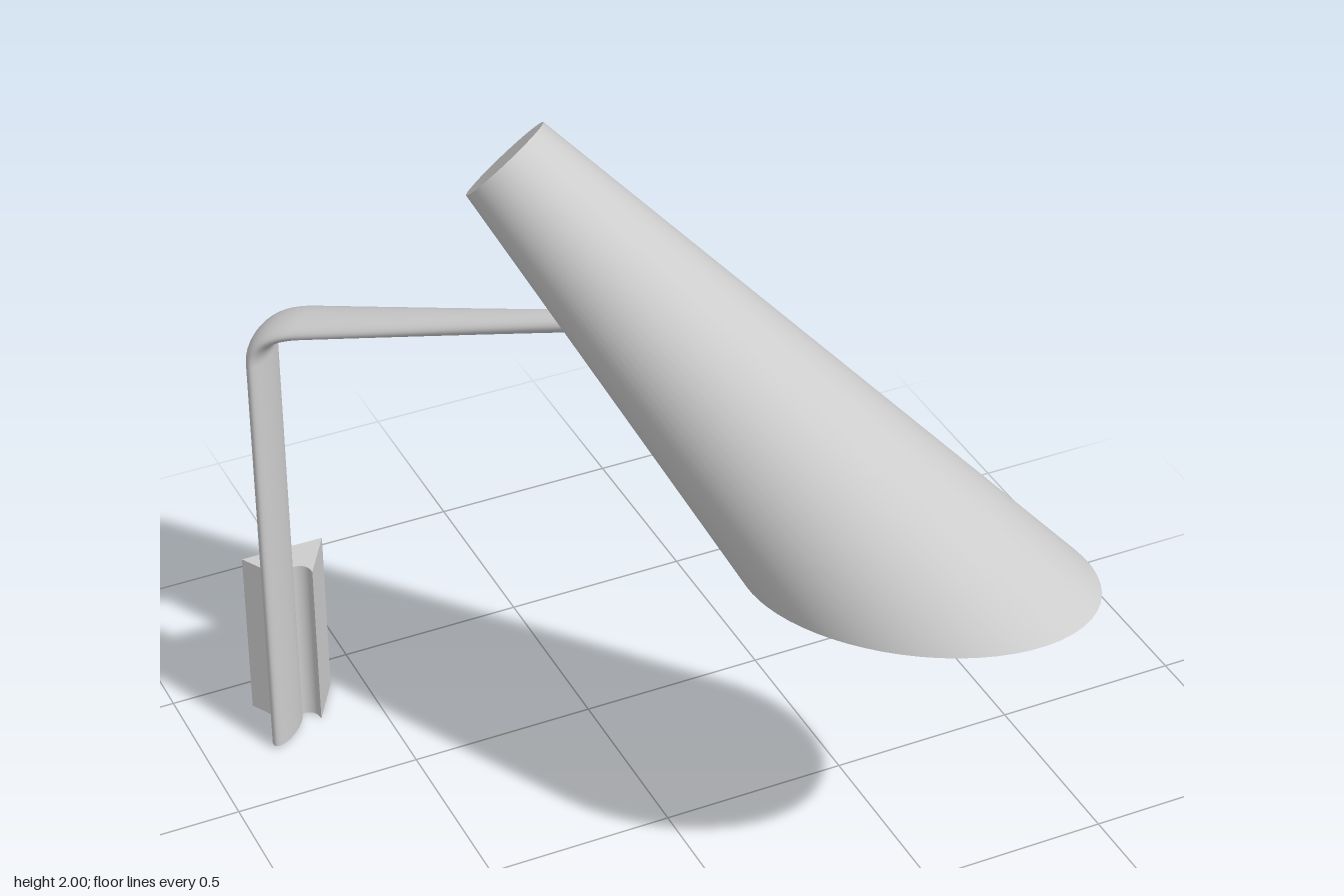
import * as THREE from 'three';

const V = (x, y, z) => new THREE.Vector3(x, y, z);
const UP = V(0, 1, 0);
const SIDES = 64;

// Smooth skin over closed rings of points
function loft(rings) {
  const n = rings[0].length, index = [];
  for (let i = 0; i < rings.length - 1; i++) {
    for (let j = 0; j < n; j++) {
      const a = i * n + j, b = i * n + (j + 1) % n;
      index.push(a, b, a + n, b, b + n, a + n);
    }
  }
  const geo = new THREE.BufferGeometry().setFromPoints(rings.flat());
  geo.setIndex(index);
  geo.computeVertexNormals();
  return geo;
}

// Flat disc closing a ring
function disc(ring, reverse) {
  const centre = ring.reduce((s, p) => s.add(p), V(0, 0, 0)).divideScalar(ring.length);
  const n = ring.length, index = [];
  for (let j = 0; j < n; j++) {
    const k = (j + 1) % n;
    index.push(n, reverse ? k : j, reverse ? j : k);
  }
  const geo = new THREE.BufferGeometry().setFromPoints([...ring, centre]);
  geo.setIndex(index);
  geo.computeVertexNormals();
  return geo;
}

// Ellipse around a centre, in the plane of u and w
function ellipse(centre, u, w, ru, rw) {
  return Array.from({ length: SIDES }, (_, j) => {
    const t = (j / SIDES) * Math.PI * 2;
    return centre.clone().addScaledVector(u, ru * Math.cos(t)).addScaledVector(w, rw * Math.sin(t));
  });
}

export function createModel() {
  const lamp = new THREE.Group();
  lamp.name = 'wallLamp';
  const grey = new THREE.MeshStandardMaterial({ color: 0xcccccc, side: THREE.DoubleSide });
  grey.name = 'light grey metal';
  const add = (parent, name, geo) => {
    const mesh = new THREE.Mesh(geo, grey);
    mesh.name = name;
    parent.add(mesh);
  };

  // Shade: a tilted cone whose mouth is cut almost level
  const shade = new THREE.Group();
  shade.name = 'shade';
  lamp.add(shade);
  const dir = V(0.669, 0, 0.743).normalize();
  const tilt = THREE.MathUtils.degToRad(42.4);
  const flare = Math.tan(THREE.MathUtils.degToRad(7.9));
  const top = V(-0.285, 1.906, -0.3);
  const axis = dir.clone().multiplyScalar(Math.cos(tilt)).addScaledVector(UP, -Math.sin(tilt));
  const u = dir.clone().multiplyScalar(Math.sin(tilt)).addScaledVector(UP, Math.cos(tilt));
  const w = axis.clone().cross(u);
  const ringAt = (k, r) => ellipse(top.clone().addScaledVector(axis, k), u, w, r + k * flare, r + k * flare);
  const heightAboveCut = (p) => p.y - 0.965 - 0.05 * (p.clone().sub(top).dot(dir) - 0.62);
  // Slide each point down its straight line to the cutting plane
  const mouth = (r) => {
    const a = ringAt(0, r), b = ringAt(1, r);
    return a.map((p, j) => {
      const f0 = heightAboveCut(p), f1 = heightAboveCut(b[j]);
      return p.clone().lerp(b[j], f0 / (f0 - f1));
    });
  };
  const R = 0.126, r = 0.114;
  add(shade, 'shadeOuterWall', loft([ringAt(0, R), mouth(R)]));
  add(shade, 'shadeRim', loft([mouth(R), mouth(r)]));
  add(shade, 'shadeInnerWall', loft([mouth(r), ringAt(0.012, r)]));
  add(shade, 'shadeCap', disc(ringAt(0, R), true));
  add(shade, 'shadeInnerCap', disc(ringAt(0.012, r), false));

  // Flat oval stem that bends over and tapers into the arm
  const foot = V(-0.765, 0, -0.755);
  const out = V(1, 0, 1).normalize();
  const at = (s, y) => foot.clone().addScaledVector(out, s).addScaledVector(UP, y);
  const bend = new THREE.QuadraticBezierCurve3(at(0, 1.22), at(0, 1.305), at(0.13, 1.335));
  const stations = [[at(0, 0.01), UP]];
  for (let i = 0; i <= 12; i++) stations.push([bend.getPoint(i / 12), bend.getTangent(i / 12)]);
  stations.push([at(0.86, 1.503), bend.getTangent(1)]);
  const side = out.clone().cross(UP);
  const rings = stations.map(([p, tangent]) => {
    const reach = p.clone().sub(foot).dot(out) / 0.86;
    const normal = side.clone().cross(tangent);
    return ellipse(p, normal, tangent.clone().cross(normal),
      0.027, THREE.MathUtils.lerp(0.077, 0.027, reach));
  });
  add(lamp, 'stemAndArm', loft(rings));
  add(lamp, 'stemFoot', disc(rings[0], true));

  // Wall bracket: a triangular prism with a round groove holding the stem
  const profile = new THREE.Shape();
  profile.moveTo(-0.81, 0.9);
  profile.lineTo(-0.73, 0.758);
  profile.lineTo(-0.73, 0.778);
  profile.absarc(-0.697, 0.778, 0.033, Math.PI, 0, true);
  profile.lineTo(-0.663, 0.77);
  profile.lineTo(-0.585, 0.9);
  profile.closePath();
  const bracket = new THREE.ExtrudeGeometry(profile, { depth: 0.49, bevelEnabled: false, curveSegments: 24 });
  bracket.rotateX(-Math.PI / 2);
  add(lamp, 'wallBracket', bracket);

  return lamp;
}
